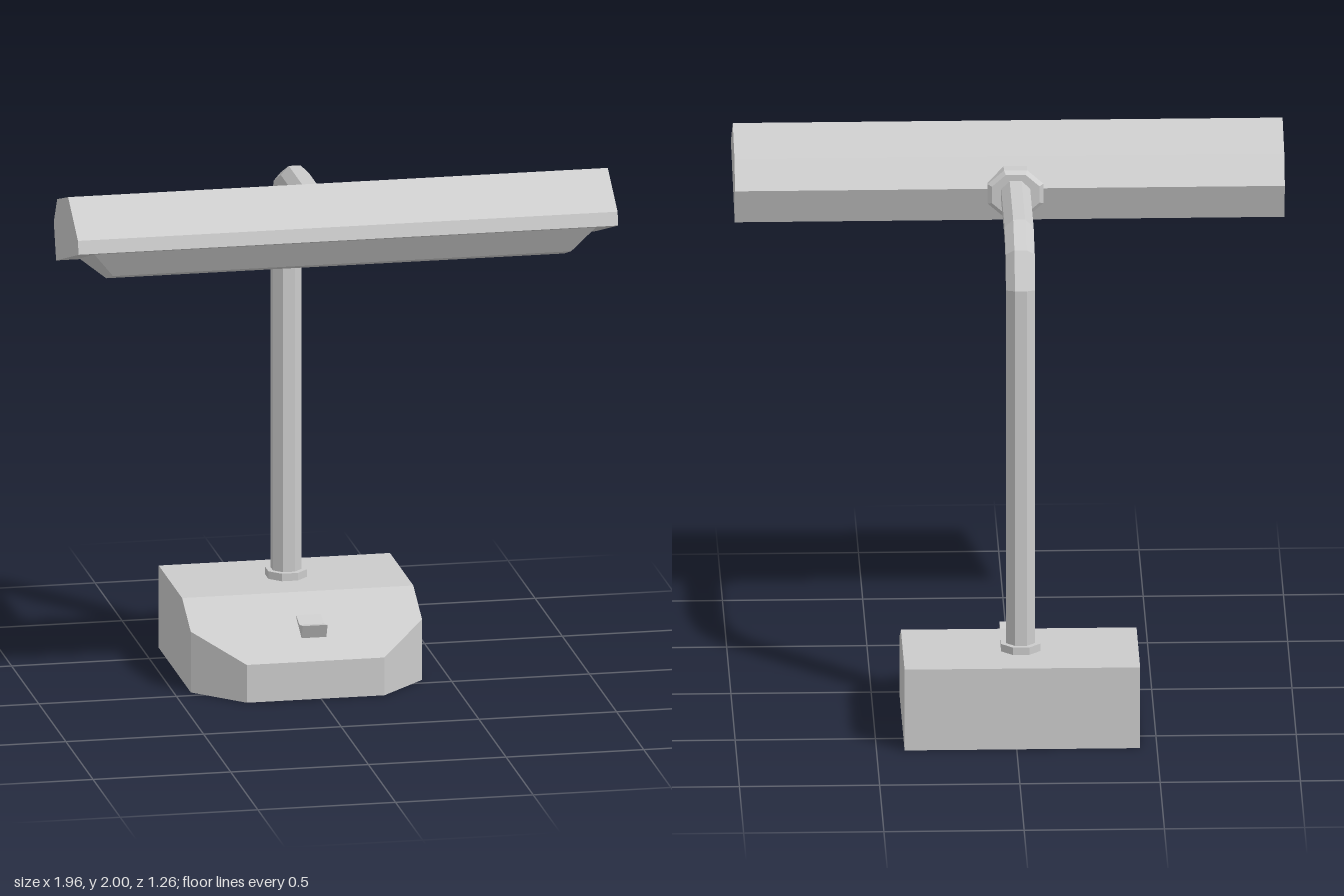
import * as THREE from 'three';
import { ConvexGeometry } from 'three/addons/geometries/ConvexGeometry.js';

const material = new THREE.MeshStandardMaterial({ color: 0xcccccc, flatShading: true });
const POST_X = -0.02, POST_Z = -0.414, ARM_Y = 1.817;

function part(name, geometry) {
  const mesh = new THREE.Mesh(geometry, material);
  mesh.name = name;
  return mesh;
}

// Side profile of [z, y] points, extruded along x and centred on x = 0
function sideExtrude(profile, width) {
  const shape = new THREE.Shape(profile.map(([z, y]) => new THREE.Vector2(z, y)));
  return new THREE.ExtrudeGeometry(shape, { depth: width, bevelEnabled: false })
    .translate(0, 0, -width / 2)
    .rotateY(-Math.PI / 2);
}

// Convex solid from [x, y, z] points, mirrored in x
function mirroredHull(points) {
  return new ConvexGeometry(points.flatMap(([x, y, z]) =>
    [new THREE.Vector3(x, y, z), new THREE.Vector3(-x, y, z)]));
}

// Octagonal tube along a [z, y] path, with mitred joints
function mitredTube(path, radius) {
  const rows = path.length - 1;
  const geometry = new THREE.CylinderGeometry(radius, radius, rows, 8, rows).rotateY(Math.PI / 8);
  const points = path.map(([z, y]) => new THREE.Vector2(z, y));
  const direction = (i) => points[i + 1].clone().sub(points[i]).normalize();
  const pos = geometry.attributes.position;
  for (let v = 0; v < pos.count; v++) {
    const i = Math.round(pos.getY(v) + rows / 2);
    const before = direction(Math.max(i - 1, 0));
    const tangent = before.clone().add(direction(Math.min(i, rows - 1))).normalize();
    const offset = pos.getZ(v) / tangent.dot(before);
    pos.setXYZ(v, pos.getX(v), points[i].y - tangent.x * offset, points[i].x + tangent.y * offset);
  }
  geometry.computeVertexNormals();
  return geometry;
}

export function createModel() {
  const model = new THREE.Group();
  model.name = 'deskLamp';

  // Base: sloping front half with clipped front corners
  const slope = (z) => Math.min(0.305, 0.305 - 0.5 * (z + 0.2));
  const plan = [[0.42, -0.63], [0.42, -0.2], [0.42, -0.04], [0.25, 0.13]];
  const base = part('base', mirroredHull(plan.flatMap(([x, z]) => [[x, 0, z], [x, slope(z), z]])));
  base.position.x = POST_X;

  // Rocker switch with a dished top
  const rocker = part('switch', sideExtrude(
    [[0.042, 0.247], [-0.02, 0.234], [-0.085, 0.252], [-0.085, 0.235], [0.016, 0.19]], 0.09));
  rocker.position.x = -0.004;

  // Collar where the post meets the base
  const postCollar = part('postCollar',
    new THREE.CylinderGeometry(0.076, 0.076, 0.04, 8).rotateY(Math.PI / 8));
  postCollar.position.set(POST_X, 0.313, POST_Z);

  // Post and arm in one bent tube
  const arm = part('arm', mitredTube(
    [[POST_Z, 0.29], [POST_Z, 1.66], [-0.364, 1.765], [-0.245, ARM_Y], [0.22, ARM_Y]], 0.056));
  arm.position.x = POST_X;

  // Chamfered collar where the arm meets the shade
  const collarProfile = [[0, 0.16], [0.085, 0.16], [0.1, 0.172], [0.1, 0.222], [0, 0.222]]
    .map(([r, h]) => new THREE.Vector2(r, h));
  const shadeCollar = part('shadeCollar',
    new THREE.LatheGeometry(collarProfile, 8).rotateY(Math.PI / 8).rotateX(Math.PI / 2));
  shadeCollar.scale.set(1.08, 0.95, 1);
  shadeCollar.position.set(POST_X, ARM_Y, 0);

  // Faceted shade
  const shade = part('shade', sideExtrude(
    [[0.218, 1.703], [0.632, 1.84], [0.62, 1.888], [0.44, 2], [0.238, 1.936], [0.175, 1.835]], 1.96));

  // Tapered light cover below the shade
  const lightCover = part('lightCover', mirroredHull([
    [0.912, 1.822, 0.573], [0.912, 1.728, 0.287],
    [0.832, 1.72, 0.515], [0.832, 1.677, 0.39],
  ]));

  model.add(base, rocker, postCollar, arm, shadeCollar, shade, lightCover);
  return model;
}
